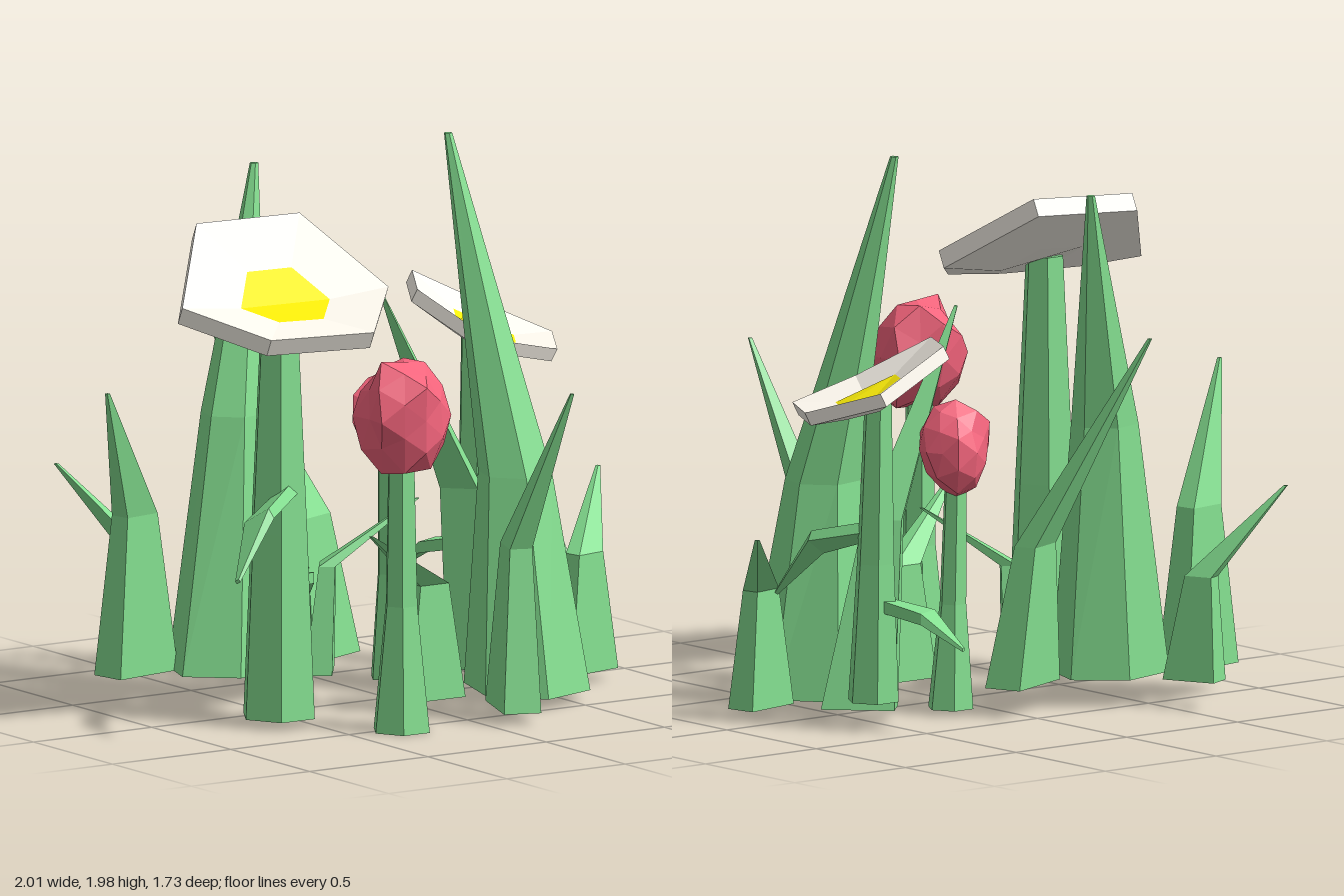
import * as THREE from 'three';

const mat = (color) => new THREE.MeshStandardMaterial({ color, flatShading: true });
const vec = (x, y, z) => new THREE.Vector3(x, y, z);
const rad = THREE.MathUtils.degToRad;
const UP = vec(0, 1, 0);

// Faces given as point loops (counter-clockwise from outside), fanned into triangles
function faceMesh(name, faces, material) {
  const points = [];
  for (const f of faces)
    for (let i = 1; i < f.length - 1; i++) points.push(f[0], f[i], f[i + 1]);
  const g = new THREE.BufferGeometry().setFromPoints(points);
  g.computeVertexNormals();
  const m = new THREE.Mesh(g, material);
  m.name = name;
  return m;
}

// Skin between cross-sections {c, u, v}; u x v points along the path
function loft(name, sections, n, material) {
  const box = n === 4;
  const rings = sections.map(({ c, u, v }) => Array.from({ length: n }, (_, i) => {
    const t = ((i + (box ? 0.5 : 0)) / n) * Math.PI * 2, k = box ? Math.SQRT2 : 1;
    return c.clone().addScaledVector(u, k * Math.cos(t)).addScaledVector(v, k * Math.sin(t));
  }));
  const faces = [[...rings[0]].reverse(), rings[rings.length - 1]];
  for (let r = 0; r < rings.length - 1; r++)
    for (let i = 0; i < n; i++) {
      const j = (i + 1) % n;
      faces.push([rings[r][i], rings[r][j], rings[r + 1][j], rings[r + 1][i]]);
    }
  return faceMesh(name, faces, material);
}

// Horizontal section: centre, half sizes, turn in degrees
function flat(c, a, b, deg) {
  const s = Math.sin(rad(deg)), k = Math.cos(rad(deg));
  return { c, u: vec(k * a, 0, s * a), v: vec(s * b, 0, -k * b) };
}

export function createModel() {
  const group = new THREE.Group();
  const green = mat(0x84df90), red = mat(0xf4647c), white = mat(0xfffaf0), yellow = mat(0xfff00a);

  // Blade: wide foot, narrower bend that leans a little, pointed tip
  function blade(sides, deg, x, z, half, bendY, lean, tip) {
    const foot = vec(x, z < -0.115 ? 0.1 : 0.04, z);
    const bend = foot.clone().lerp(tip, lean).setY(bendY);
    const thick = sides === 6 ? 0.84 : 0.48, point = sides === 6 ? 0.015 : 0.006;
    group.add(loft('grassBlade', [
      flat(foot, half, half * thick, deg),
      flat(bend, half * 0.52, half * thick * 0.6, deg),
      flat(tip, point, point, deg),
    ], sides, green));
  }
  blade(6, 165, -0.45, -0.35, 0.235, 1, 0.28, vec(-0.2, 1.85, -0.55));
  blade(6, 107, 0.41, 0.265, 0.265, 0.8, 0.15, vec(0.3, 1.98, -0.07));
  blade(4, 65, -0.57, -0.67, 0.1, 0.47, 0.08, vec(-0.83, 0.79, -0.86));
  blade(4, -10, -0.765, -0.45, 0.14, 0.67, 0.05, vec(-1, 1.15, -0.28));
  blade(4, 110, 0.155, 0.56, 0.14, 0.62, 0.05, vec(0.21, 1.2, 0.85));
  blade(4, -22, -0.045, -0.36, 0.145, 0.6, 0.1, vec(-0.29, 1.36, -0.77));
  blade(4, 0, 0.005, 0.255, 0.115, 0.45, 0, vec(-0.38, 0.69, 0.46));
  blade(4, -54, -0.21, -0.12, 0.1, 0.48, 0.08, vec(0.13, 0.7, -0.01));
  blade(4, -12, 0.745, 0.125, 0.115, 0.46, 0.03, vec(1, 0.7, -0.17));
  blade(4, 45, 0.49, -0.11, 0.13, 0.7, 0.25, vec(0.03, 1.42, -0.08));

  // Six-sided stem with a flared foot
  function stem(name, foot, top, footR, midR, topR) {
    group.add(loft(name, [
      flat(foot, footR, footR, 0),
      flat(foot.clone().lerp(top, 0.45), midR, midR, 0),
      flat(top, topR, topR, 0),
    ], 6, green));
  }
  stem('largeFlowerStem', vec(-0.595, 0.03, 0.2), vec(-0.58, 1.5, 0.18), 0.14, 0.11, 0.07);
  stem('smallFlowerStem', vec(0.58, 0.1, -0.3), vec(0.59, 1.2, -0.34), 0.095, 0.07, 0.05);
  stem('largeBudStem', vec(-0.3, 0, 0.535), vec(-0.305, 1, 0.54), 0.11, 0.062, 0.05);
  stem('smallBudStem', vec(0.17, 0.02, -0.225), vec(0.16, 0.85, -0.24), 0.085, 0.05, 0.04);

  // Leaf growing out of a stem, drooping past its middle and rolled about its length
  function leaf(start, tip, roll) {
    const bend = start.clone().lerp(tip, 0.58).setY(start.y + (tip.y - start.y) * 0.25);
    const along = tip.clone().sub(start).setY(0).normalize();
    const side = UP.clone().cross(along).applyAxisAngle(along, rad(roll));
    const top = UP.clone().applyAxisAngle(along, rad(roll));
    const section = (c, w, h) => ({ c, u: side.clone().multiplyScalar(w), v: top.clone().multiplyScalar(h) });
    group.add(loft('stemLeaf',
      [section(start, 0.03, 0.022), section(bend, 0.055, 0.02), section(tip, 0.008, 0.006)], 4, green));
  }
  leaf(vec(-0.58, 0.84, 0.24), vec(-0.95, 0.59, 0.47), 32);
  leaf(vec(-0.55, 0.5, 0.17), vec(-0.27, 0.4, -0.1), 0);
  leaf(vec(0.58, 0.71, -0.31), vec(0.7, 0.44, 0.1), 32);
  leaf(vec(0.58, 0.45, -0.33), vec(0.44, 0.31, -0.63), 0);

  // Flower head: tilted six-sided dish with thickness and a sunken flat heart
  function flower(name, x, z, radius, deg, heights, thickness) {
    const rim = heights.map((y, i) => {
      const t = rad(deg + i * 60);
      return vec(x + radius * Math.cos(t), y, z + radius * Math.sin(t));
    });
    const middle = vec(x, heights.reduce((a, b) => a + b) / 6, z);
    const inner = rim.map((p) => p.clone().lerp(middle, 0.57).setY(middle.y + (p.y - middle.y) * 0.43 - 0.05));
    const down = rim[2].clone().sub(rim[0]).cross(rim[4].clone().sub(rim[0])).setLength(thickness);
    const [rimLow, innerLow] = [rim, inner].map((ring) => ring.map((p) => p.clone().add(down)));
    const faces = [innerLow];
    for (let i = 0; i < 6; i++) {
      const j = (i + 1) % 6;
      faces.push([rim[i], inner[i], inner[j], rim[j]], [rim[i], rim[j], rimLow[j], rimLow[i]],
        [rimLow[i], rimLow[j], innerLow[j], innerLow[i]]);
    }
    const head = new THREE.Group();
    head.name = name;
    head.add(faceMesh('petals', faces, white), faceMesh('flowerHeart', [[...inner].reverse()], yellow));
    group.add(head);
  }
  flower('largeFlower', -0.585, 0.225, 0.393, 251, [1.75, 1.76, 1.54, 1.45, 1.45, 1.52], 0.065);
  flower('smallFlower', 0.625, -0.325, 0.285, 240, [1.39, 1.25, 1.165, 1.155, 1.22, 1.375], 0.05);

  // Rough faceted bud; equal corners move equally so the skin stays closed
  function bud(name, at, size, seed) {
    const g = new THREE.IcosahedronGeometry(1, 1);
    const p = g.attributes.position, v = vec(0, 0, 0);
    for (let i = 0; i < p.count; i++) {
      v.fromBufferAttribute(p, i);
      const key = Math.round(v.x * 50) * 1.3 + Math.round(v.y * 50) * 2.7 + Math.round(v.z * 50) * 4.1;
      v.multiplyScalar(0.98 + 0.12 * Math.sin(key + seed)).multiply(size);
      p.setXYZ(i, v.x, v.y, v.z);
    }
    g.computeVertexNormals();
    const m = new THREE.Mesh(g, red);
    m.name = name;
    m.position.copy(at);
    group.add(m);
  }
  bud('largeBud', vec(-0.3, 1.13, 0.55), vec(0.168, 0.215, 0.163), 1);
  bud('smallBud', vec(0.16, 0.945, -0.24), vec(0.137, 0.165, 0.123), 4);

  return group;
}
